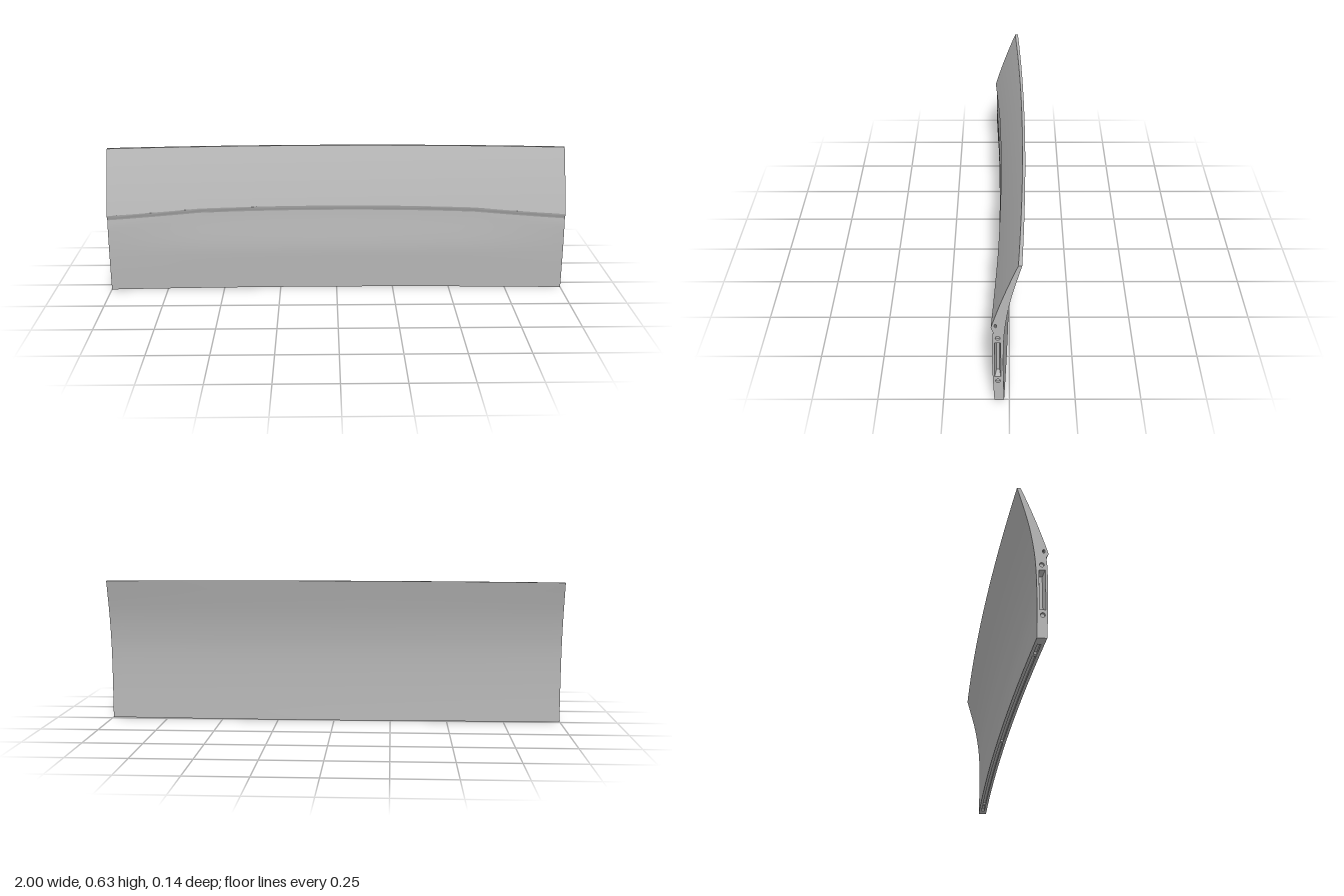
import * as THREE from 'three';
import { toCreasedNormals } from 'three/addons/utils/BufferGeometryUtils.js';

const V2 = (z, y) => new THREE.Vector2(z, y);

// Height of the crease across the width
function creaseY(x) {
  const a = Math.abs(x);
  if (a < 0.6) return 0.38 - 0.008 * (a / 0.6) ** 2;
  const t = (a - 0.6) / 0.4;
  return 0.372 - 0.026 * (1.2 * t - 0.2 * t * t);
}
const topY = x => 0.622 + 0.006 * (1 - x * x);
// Front surface above the crease
function upperZ(y) {
  const t = y - 0.346;
  return 0.068 - 0.3 * t - 0.22 * t * t;
}
const bow = x => -0.022 * (1 - x * x);

// Cross-section pieces in (z, y), running up the front, over the top and down the back
const sections = {
  lowerFrontPanel(x) {
    const c = creaseY(x), z = upperZ(c);
    return new THREE.SplineCurve([V2(0.057, 0), V2(0.062, 0.11), V2(0.064, 0.2),
      V2(z - 0.005, c * 0.83), V2(z - 0.008, c - 0.022)]).getPoints(16);
  },
  creaseLip(x) {
    const c = creaseY(x), z = upperZ(c);
    return [V2(z - 0.008, c - 0.022), V2(z - 0.006, c - 0.014), V2(z - 0.001, c - 0.007), V2(z, c)];
  },
  upperFrontPanel(x) {
    const c = creaseY(x), pts = [];
    for (let i = 0; i <= 14; i++) {
      const y = c + (topY(x) - c) * i / 14;
      pts.push(V2(upperZ(y), y));
    }
    return pts;
  },
  topEdge(x) {
    return [V2(upperZ(topY(x)), topY(x)), V2(-0.045, topY(x))];
  },
  backPanel(x) {
    return new THREE.SplineCurve([V2(-0.045, topY(x)), V2(-0.007, 0.482), V2(0.0125, 0.375),
      V2(0.021, 0.28), V2(0.023, 0.15), V2(0.02, 0)]).getPoints(30);
  },
  // Bottom face with a groove that stops short of the ends
  underside(x) {
    const d = Math.abs(x) < 0.9505 ? 0.01 : 0;
    return [V2(0.02, 0), V2(0.032, 0), V2(0.032, d), V2(0.045, d), V2(0.045, 0), V2(0.057, 0)];
  },
};

// Surface through rows of points, facing column x row direction
function grid(rows) {
  const n = rows[0].length, idx = [];
  for (let r = 0; r < rows.length - 1; r++) {
    for (let c = 0; c < n - 1; c++) {
      const a = r * n + c, b = a + 1, d = a + n, e = d + 1;
      idx.push(a, b, d, b, e, d);
    }
  }
  const g = new THREE.BufferGeometry().setFromPoints(rows.flat());
  g.setIndex(idx);
  g.computeVertexNormals();
  return toCreasedNormals(g, 0.5);
}

function ellipse(z, y, rz, ry) {
  const pts = [];
  for (let i = 0; i < 24; i++) {
    const a = i / 24 * Math.PI * 2;
    pts.push(V2(z + rz * Math.cos(a), y + ry * Math.sin(a)));
  }
  return pts;
}
const rect = (z0, y0, z1, y1) => [V2(z0, y0), V2(z1, y0), V2(z1, y1), V2(z0, y1)];

// Recesses in each end: mouth outline, floor outline, depth
const recesses = [
  { name: 'endPocket', mouth: rect(0.032, 0.113, 0.055, 0.275), floor: rect(0.037, 0.125, 0.048, 0.263), depth: 0.03 },
  { name: 'upperBoltHole', mouth: ellipse(0.043, 0.297, 0.009, 0.009), floor: ellipse(0.043, 0.297, 0.008, 0.008), depth: 0.008 },
  { name: 'lowerBoltHole', mouth: ellipse(0.043, 0.092, 0.009, 0.009), floor: ellipse(0.043, 0.092, 0.008, 0.008), depth: 0.008 },
  { name: 'pinHole', mouth: ellipse(0.051, 0.354, 0.0045, 0.008), floor: ellipse(0.051, 0.354, 0.0035, 0.006), depth: 0.03 },
];

// Turns a part drawn in the (z, y) plane to face outward at one end
function toEnd(geometry, side) {
  const g = geometry.index ? geometry.toNonIndexed() : geometry;
  g.rotateY(-Math.PI / 2).translate(-1, 0, 0);
  if (side > 0) {
    g.scale(-1, 1, 1);
    const p = g.attributes.position;
    for (let i = 0; i < p.count; i += 3) {
      const b = new THREE.Vector3().fromBufferAttribute(p, i + 1);
      p.setXYZ(i + 1, p.getX(i + 2), p.getY(i + 2), p.getZ(i + 2));
      p.setXYZ(i + 2, b.x, b.y, b.z);
    }
  }
  g.computeVertexNormals();
  return g;
}

export function createModel() {
  const model = new THREE.Group();
  model.name = 'curvedPanel';
  const grey = new THREE.MeshStandardMaterial({ color: 0xb8b8b8 });
  grey.name = 'plain grey';
  const add = (parent, name, geometry) => {
    const mesh = new THREE.Mesh(geometry, grey);
    mesh.name = name;
    parent.add(mesh);
    return mesh;
  };

  // Panel skin, swept from the left end to the right
  const xs = [0.951, -0.951];
  for (let i = 0; i <= 40; i++) xs.push(1 - i / 20);
  xs.sort((a, b) => b - a);
  for (const [name, section] of Object.entries(sections)) {
    add(model, name, grid(xs.map(x =>
      section(x).map(p => new THREE.Vector3(x, p.y, p.x + bow(x))))));
  }

  // End faces with their recesses
  for (const side of [-1, 1]) {
    const end = new THREE.Group();
    end.name = side > 0 ? 'leftEnd' : 'rightEnd';
    model.add(end);
    const outline = Object.values(sections).flatMap(s => s(1).slice(0, -1));
    const face = new THREE.Shape(outline.filter((p, i) => i === 0 || p.distanceTo(outline[i - 1]) > 1e-6));
    face.holes = recesses.map(r => new THREE.Path(r.mouth));
    add(end, 'endFace', toEnd(new THREE.ShapeGeometry(face), side));
    for (const r of recesses) {
      const loop = (pts, z) => [...pts, pts[0]].map(p => new THREE.Vector3(p.x, p.y, z));
      add(end, r.name + 'Wall', toEnd(grid([loop(r.mouth, 0), loop(r.floor, -r.depth)]), side));
      const floor = new THREE.ShapeGeometry(new THREE.Shape(r.floor)).translate(0, 0, -r.depth);
      add(end, r.name + 'Floor', toEnd(floor, side));
    }
  }

  // Fixing studs sunk in the bottom groove
  for (const x of [-0.86, 0, 0.86]) {
    const stud = add(model, 'bottomStud', new THREE.CylinderGeometry(0.009, 0.009, 0.009, 20));
    stud.position.set(x, 0.0055, 0.0385 + bow(x));
  }
  return model;
}
